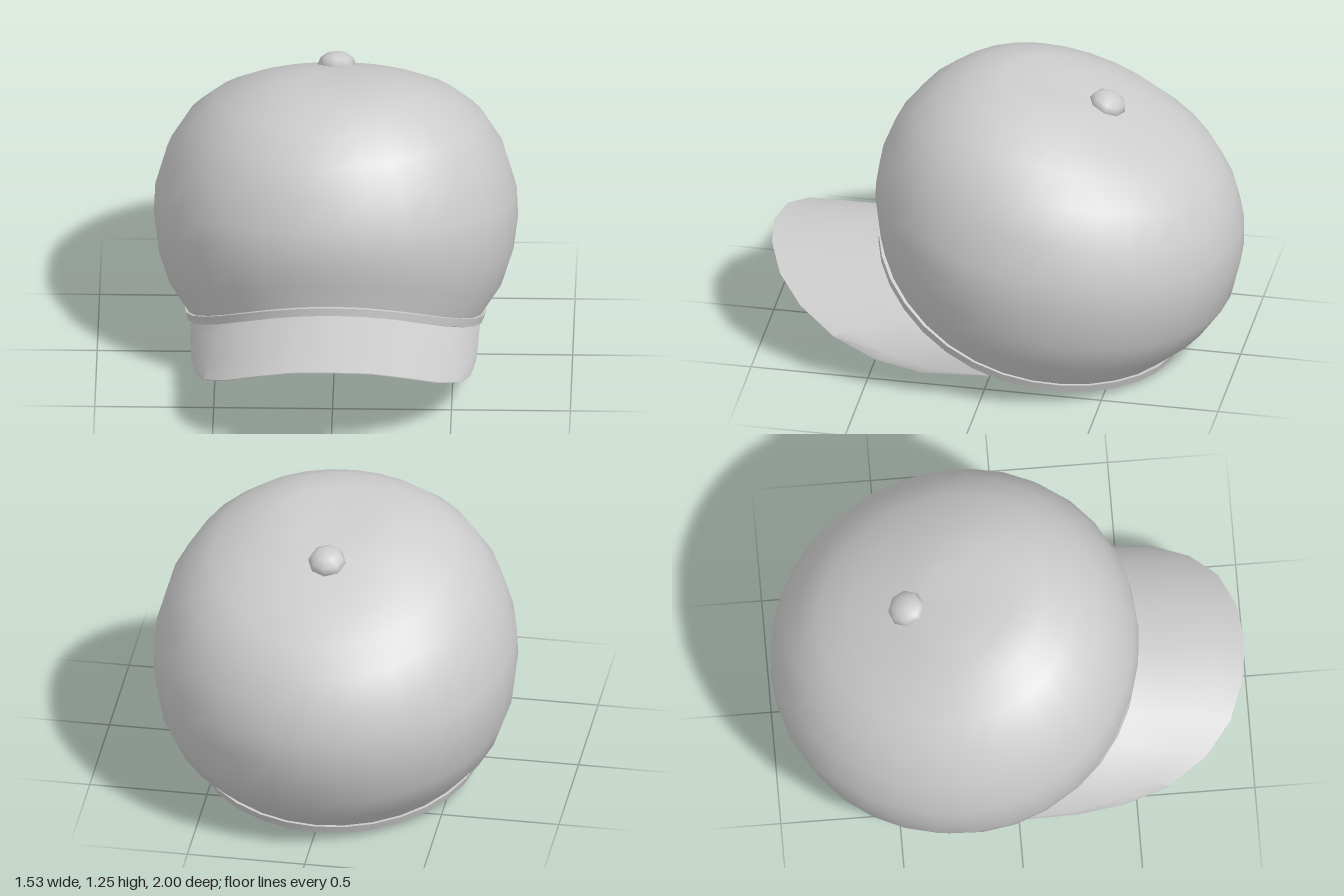
import * as THREE from 'three';
import { mergeVertices, toCreasedNormals } from 'three/addons/utils/BufferGeometryUtils.js';

const material = new THREE.MeshStandardMaterial({ color: 0xcccccc, side: THREE.DoubleSide });
const SEGMENTS = 32;

// Skin a list of equally long point rows; optionally join the last column to the first
function loft(rows, wrap) {
  const n = rows[0].length;
  const index = [];
  for (let i = 0; i < rows.length - 1; i++) {
    for (let j = 0; j < (wrap ? n : n - 1); j++) {
      const k = (j + 1) % n;
      const a = i * n + j, b = i * n + k, c = (i + 1) * n + k, d = (i + 1) * n + j;
      index.push(a, b, c, a, c, d);
    }
  }
  const geometry = new THREE.BufferGeometry();
  geometry.setAttribute('position', new THREE.Float32BufferAttribute(rows.flat().flatMap(p => p.toArray()), 3));
  geometry.setIndex(index);
  return geometry;
}

// Point on a tilted oval ring that sags at the sides and is a little fuller at the front
function ringPoint([zf, yf, zb, yb, width, sag], angle) {
  const c = Math.cos(angle), s = Math.sin(angle);
  return new THREE.Vector3(
    width * s * (1 + 0.03 * c * (1 + c)),
    (yf + yb) / 2 + ((yf - yb) / 2) * c + sag * s * s * (1 + 0.45 * c),
    (zf + zb) / 2 + ((zf - zb) / 2) * c
  );
}

function ring(spec) {
  return Array.from({ length: SEGMENTS }, (_, j) => ringPoint(spec, (j / SEGMENTS) * Math.PI * 2));
}

// Rings: front z, front y, back z, back y, half width, sag at the sides
const RIM = [0.525, 0.465, -0.718, 0.002, 0.61, -0.11];
const HEM_TOP = [0.523, 0.5, -0.73, 0.037, 0.62, -0.11];
const CROWN = [
  RIM,
  HEM_TOP,
  [0.54, 0.60, -0.866, 0.15, 0.705, -0.10],
  [0.55, 0.695, -0.957, 0.278, 0.748, -0.085],
  [0.545, 0.77, -1.0, 0.455, 0.766, -0.065],
  [0.53, 0.85, -1.0, 0.585, 0.76, -0.04],
  [0.476, 0.985, -0.967, 0.717, 0.71, 0],
  [0.39, 1.095, -0.90, 0.845, 0.62, 0.03],
  [0.283, 1.18, -0.80, 0.945, 0.51, 0.03],
  [0.155, 1.24, -0.68, 1.022, 0.39, 0.02],
  [0.01, 1.255, -0.59, 1.072, 0.28, 0.02],
  [-0.21, 1.22, -0.51, 1.11, 0.15, 0.01],
  [-0.42, 1.152, -0.42, 1.152, 0, 0]
];

function add(group, name, geometry) {
  const mesh = new THREE.Mesh(geometry, material);
  mesh.name = name;
  group.add(mesh);
  return mesh;
}

function crownGeometry() {
  const geometry = mergeVertices(loft(CROWN.map(ring), true), 1e-5);
  geometry.computeVertexNormals();
  return geometry;
}

// Narrow hem wrapped round the outside of the opening
function hemGeometry() {
  const section = [[RIM, 0], [RIM, 0.014], [HEM_TOP, 0.014], [HEM_TOP, 0]];
  const rows = section.map(([[zf, yf, zb, yb, width, sag], out]) =>
    ring([zf + out, yf, zb - out, yb, width + out, sag]));
  return toCreasedNormals(loft(rows, true), 0.7);
}

// Peak: spans from the rim to a curved outer edge, with a thin underside
function peakGeometry() {
  const half = [
    [0.17, 0.425, 0.975], [0.33, 0.37, 0.91], [0.45, 0.293, 0.80], [0.54, 0.211, 0.64],
    [0.58, 0.143, 0.45], [0.60, 0.115, 0.25], [0.61, 0.135, -0.04]
  ];
  const points = [
    ...half.slice().reverse().map(([x, y, z]) => new THREE.Vector3(-x, y, z)),
    new THREE.Vector3(0, 0.44, 0.998),
    ...half.map(p => new THREE.Vector3(...p))
  ];
  const steps = 4, span = 1.48;
  const row = (t, drop) => points.map((point, j) => {
    const angle = (j / (points.length - 1) * 2 - 1) * span;
    const inner = ringPoint(RIM, angle);
    inner.y -= 0.006;
    const p = point.clone().lerp(inner, t);
    p.y -= drop;
    return p;
  });
  const rows = [];
  for (let i = 0; i <= steps; i++) rows.push(row(i / steps, 0));
  for (let i = steps; i >= 0; i--) rows.push(row(i / steps, 0.004 + 0.01 * i / steps));
  rows.push(row(0, 0));
  return toCreasedNormals(loft(rows, false), 0.7);
}

export function createModel() {
  const group = new THREE.Group();
  group.name = 'cap';
  add(group, 'crown', crownGeometry());
  add(group, 'hem', hemGeometry());
  add(group, 'peak', peakGeometry());

  // Button leaning with the slope of the crown
  const button = add(group, 'button', new THREE.SphereGeometry(0.08, 8, 6));
  button.scale.y = 0.68;
  button.rotation.x = -0.35;
  button.position.set(0, 1.15, -0.43);
  return group;
}
